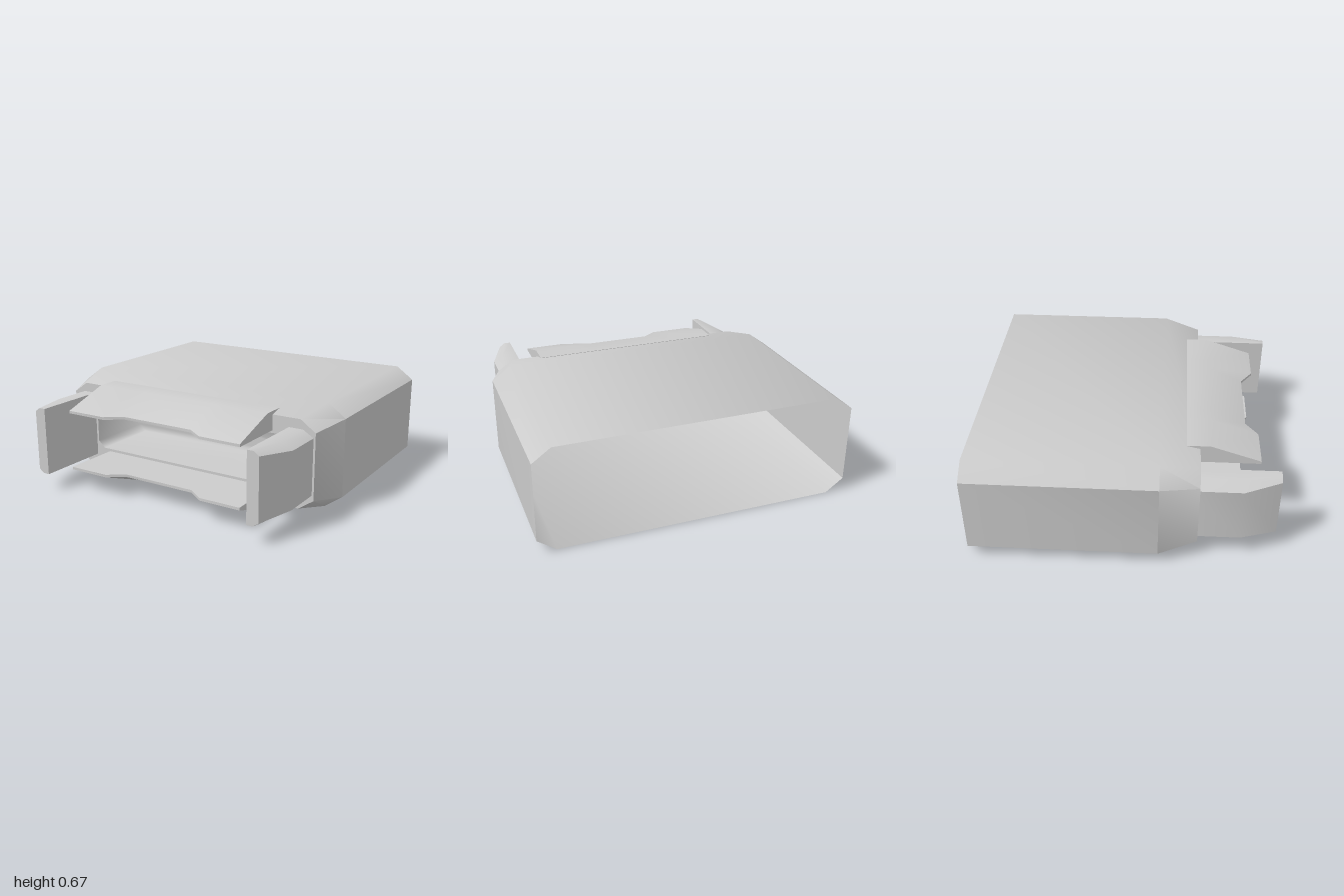
import * as THREE from 'three';
import { toCreasedNormals } from 'three/addons/utils/BufferGeometryUtils.js';

const MID = 0.333; // height of the horizontal symmetry plane

// Skin a list of equal-length rings of [x, y, z] points, optionally capping the ends.
function loft(rings, capStart, capEnd, crease) {
  const n = rings[0].length;
  const index = [];
  for (let r = 0; r < rings.length - 1; r++) {
    for (let i = 0; i < n; i++) {
      const a = r * n + i, b = r * n + (i + 1) % n;
      index.push(a, b, b + n, a, b + n, a + n);
    }
  }
  const last = (rings.length - 1) * n;
  for (let i = 1; i < n - 1; i++) {
    if (capStart) index.push(0, i + 1, i);
    if (capEnd) index.push(last, last + i, last + i + 1);
  }
  const geo = new THREE.BufferGeometry();
  geo.setAttribute('position', new THREE.Float32BufferAttribute(rings.flat(2), 3));
  geo.setIndex(index);
  geo.computeVertexNormals();
  return crease ? toCreasedNormals(geo, crease) : geo;
}

// Rectangle with cut corners, counter-clockwise seen from the front.
function octagon(w, h, cx, cy, z) {
  return [
    [w, -h + cy], [w, h - cy], [w - cx, h], [-w + cx, h],
    [-w, h - cy], [-w, -h + cy], [-w + cx, -h], [w - cx, -h],
  ].map(([x, y]) => [x, y + MID, z]);
}

export function createModel() {
  const model = new THREE.Group();
  const material = new THREE.MeshStandardMaterial({ color: 0xcccccc, side: THREE.DoubleSide });

  const add = (name, geometry) => {
    const mesh = new THREE.Mesh(geometry, material);
    mesh.name = name;
    model.add(mesh);
    return mesh;
  };
  // Half turn about the long axis through the middle of the body
  const addTurned = (name, geometry) => {
    const mesh = add(name, geometry);
    mesh.rotation.z = Math.PI;
    mesh.position.y = 2 * MID;
  };

  // Hollow body, open at the back, tapering to the front rim
  add('shell', loft([
    octagon(1, MID, 0.115, 0.083, -0.942),
    octagon(1, MID, 0.115, 0.083, 0.22),
    octagon(0.92, 0.28, 0.1, 0.07, 0.458),
    octagon(0.73, 0.165, 0.05, 0.045, 0.458),
  ], false, false, 0.9));

  // Recessed socket with a softly shaded end wall
  add('socket', loft([
    octagon(0.73, 0.165, 0.05, 0.045, 0.458),
    octagon(0.73, 0.165, 0.05, 0.045, 0),
  ], false, true));

  // Wedge-shaped latch plates with a notch in the front edge
  const stations = [
    [-0.635, 0.832], [-0.36, 0.832], [-0.25, 0.755],
    [0.25, 0.755], [0.36, 0.832], [0.635, 0.832],
  ];
  const plate = loft(stations.map(([x, tip]) => [
    [x, 0.634, 0.375], [x, 0.634, 0.52], [x, 0.532, tip],
    [x, 0.515, tip], [x, 0.515, 0.375],
  ]), true, true, 0.7);
  add('upperLatchPlate', plate);
  addTurned('lowerLatchPlate', plate);

  // Side prongs: bevelled outside, flat inside, narrowing to the tip
  const prongSection = (outer, bevelX, bevelY, z) => [
    [0.745, -0.22], [outer - bevelX, -0.22], [outer, -0.22 + bevelY],
    [outer, 0.22 - bevelY], [outer - bevelX, 0.22], [0.745, 0.22],
  ].map(([x, y]) => [x, y + MID, z]);
  const prong = loft([
    prongSection(0.907, 0.07, 0.042, 0.4),
    prongSection(0.907, 0.07, 0.042, 0.715),
    prongSection(0.822, 0.035, 0.025, 0.942),
  ], true, true, 0.9);
  add('leftProng', prong);
  addTurned('rightProng', prong);

  return model;
}
